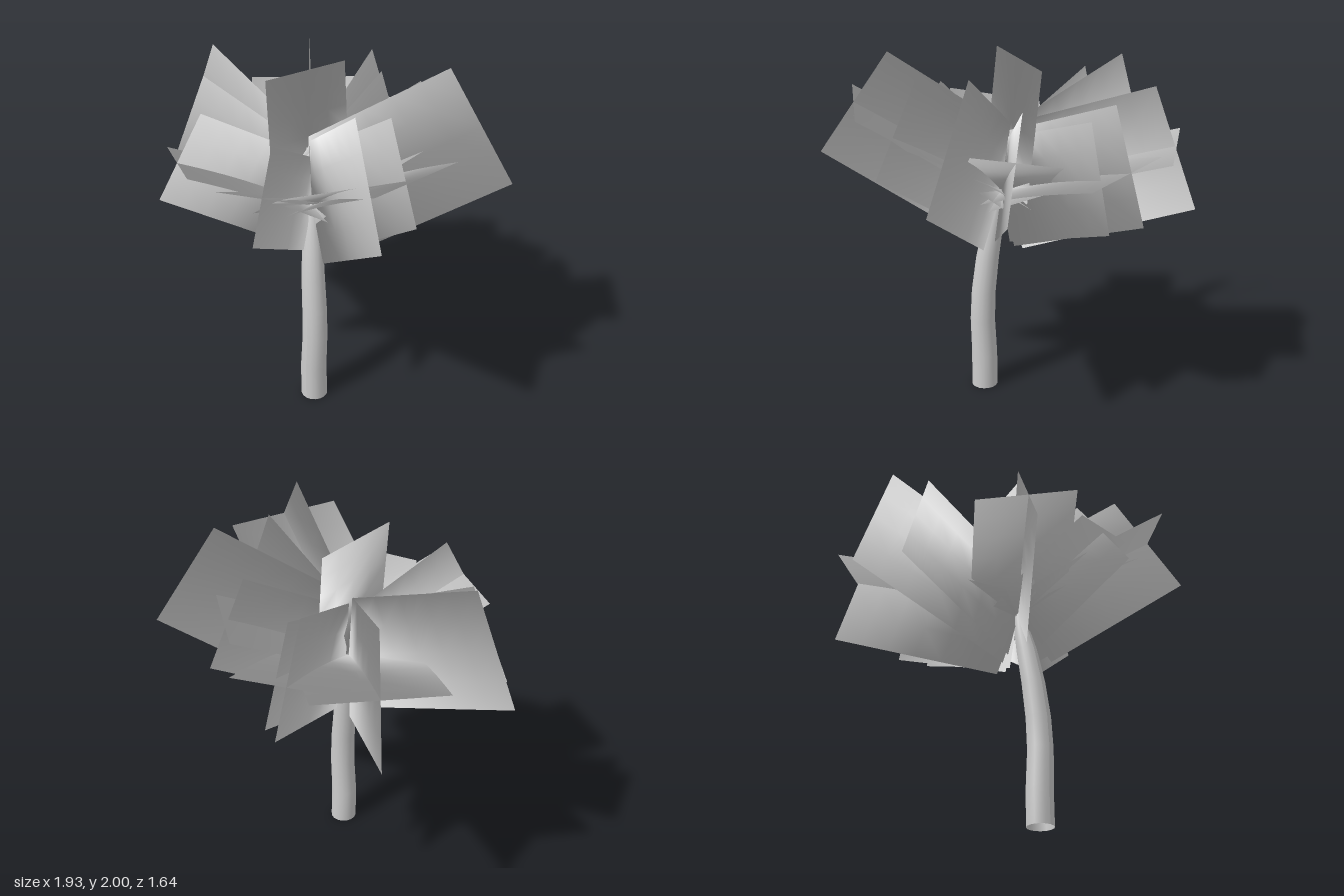
import * as THREE from 'three';

const grey = new THREE.MeshStandardMaterial({ color: 0xcccccc, side: THREE.DoubleSide });
grey.name = 'pale grey';

// Common point where the fronds grow out of the trunk, and the middle of the foliage
const crown = new THREE.Vector3(0.06, 1.2, 0.12);
const foliageCentre = new THREE.Vector3(0.04, 1.45, 0.05);

// Rectangular leaf card: its outer edge runs a to b, its inner edge is parallel and centred on base.
// Normals swell outward from the foliage centre, for soft rounded shading.
function card(name, a, b, base = crown, arch = 0) {
  const p = new THREE.Vector3(...a), q = new THREE.Vector3(...b);
  const half = q.clone().sub(p).multiplyScalar(0.5);
  const i0 = base.clone().sub(half), i1 = base.clone().add(half);
  const face = half.clone().cross(p.clone().sub(i0)).normalize();
  const geo = new THREE.PlaneGeometry(1, 1, 4, 6);
  const { position: pos, normal } = geo.attributes;
  for (let i = 0; i < pos.count; i++) {
    const s = pos.getX(i) + 0.5, t = pos.getY(i) + 0.5;
    const v = i0.clone().lerp(i1, s).lerp(p.clone().lerp(q, s), t);
    v.y += arch * Math.sin(Math.PI * t);
    pos.setXYZ(i, v.x, v.y, v.z);
    const n = v.sub(foliageCentre).normalize().addScaledVector(face, 0.35).normalize();
    normal.setXYZ(i, n.x, n.y, n.z);
  }
  const mesh = new THREE.Mesh(geo, grey);
  mesh.name = name;
  return mesh;
}

// Curved trunk that narrows near the crown
function trunk() {
  const rings = [
    [0.135, 0, 0.195, 0.074], [0.132, 0.2, 0.197, 0.073], [0.142, 0.42, 0.197, 0.07],
    [0.135, 0.6, 0.193, 0.068], [0.115, 0.8, 0.18, 0.064], [0.092, 1.0, 0.155, 0.056],
    [0.075, 1.13, 0.135, 0.042], [0.065, 1.24, 0.122, 0.025],
  ];
  const geo = new THREE.CylinderGeometry(1, 1, 1, 16, rings.length - 1, true);
  const pos = geo.attributes.position;
  for (let i = 0; i < pos.count; i++) {
    const [x, y, z, r] = rings[Math.round((pos.getY(i) + 0.5) * (rings.length - 1))];
    pos.setXYZ(i, x + pos.getX(i) * r, y, z + pos.getZ(i) * r);
  }
  geo.computeVertexNormals();
  const mesh = new THREE.Mesh(geo, grey);
  mesh.name = 'trunk';
  return mesh;
}

export function createModel() {
  const model = new THREE.Group();
  model.name = 'palmTree';
  model.add(trunk());

  // Crossed fronds: two ends of the upright leaf's tip, two ends of the flat leaf's tip
  const crossed = [
    [[0.56, 2.0, 0.43], [0.87, 1.48, 0.63], [0.54, 1.75, 0.8], [0.89, 1.73, 0.26]],
    [[0.58, 1.9, 0.17], [0.8, 1.4, 0.24], [0.74, 1.68, 0.51], [0.82, 1.64, -0.07]],
    [[0.14, 1.75, 0.53], [0.24, 1.35, 0.8], [-0.04, 1.53, 0.74], [0.4, 1.58, 0.64]],
    [[-0.4, 1.37, 0.78], [-0.31, 1.79, 0.54], [-0.59, 1.5, 0.52], [-0.15, 1.6, 0.82]],
    [[-0.59, 1.16, -0.71], [-0.46, 1.82, -0.51], [-0.26, 1.51, -0.82], [-0.8, 1.5, -0.4]],
    [[-0.08, 1.81, -0.59], [-0.06, 1.23, -0.82], [0.24, 1.47, -0.75], [-0.35, 1.5, -0.67]],
    [[0.37, 1.82, -0.4], [0.55, 1.29, -0.49], [0.62, 1.62, -0.3], [0.31, 1.58, -0.63]],
  ];
  crossed.forEach(([a, b, c, d], i) => {
    const frond = new THREE.Group();
    frond.name = `crossedFrond${i + 1}`;
    frond.add(card('uprightLeaf', a, b), card('flatLeaf', c, d, crown, 0.02));
    model.add(frond);
  });

  // Single upright fronds
  const single = [
    [[-0.97, 1.23, 0.01], [-0.73, 1.86, -0.01]],
    [[-0.83, 1.23, 0.24], [-0.63, 1.77, 0.18]],
    [[0.61, 2.0, -0.29], [0.96, 1.42, -0.39]],
    [[0.03, 1.73, -0.53], [0.07, 1.19, -0.71]],
  ];
  single.forEach(([a, b], i) => model.add(card(`singleFrond${i + 1}`, a, b)));

  // Leaf standing up from the middle of the crown
  model.add(card('centreLeaf', [0.04, 1.92, -0.18], [-0.08, 1.95, 0.31], new THREE.Vector3(0.05, 1.22, 0.1)));
  return model;
}
